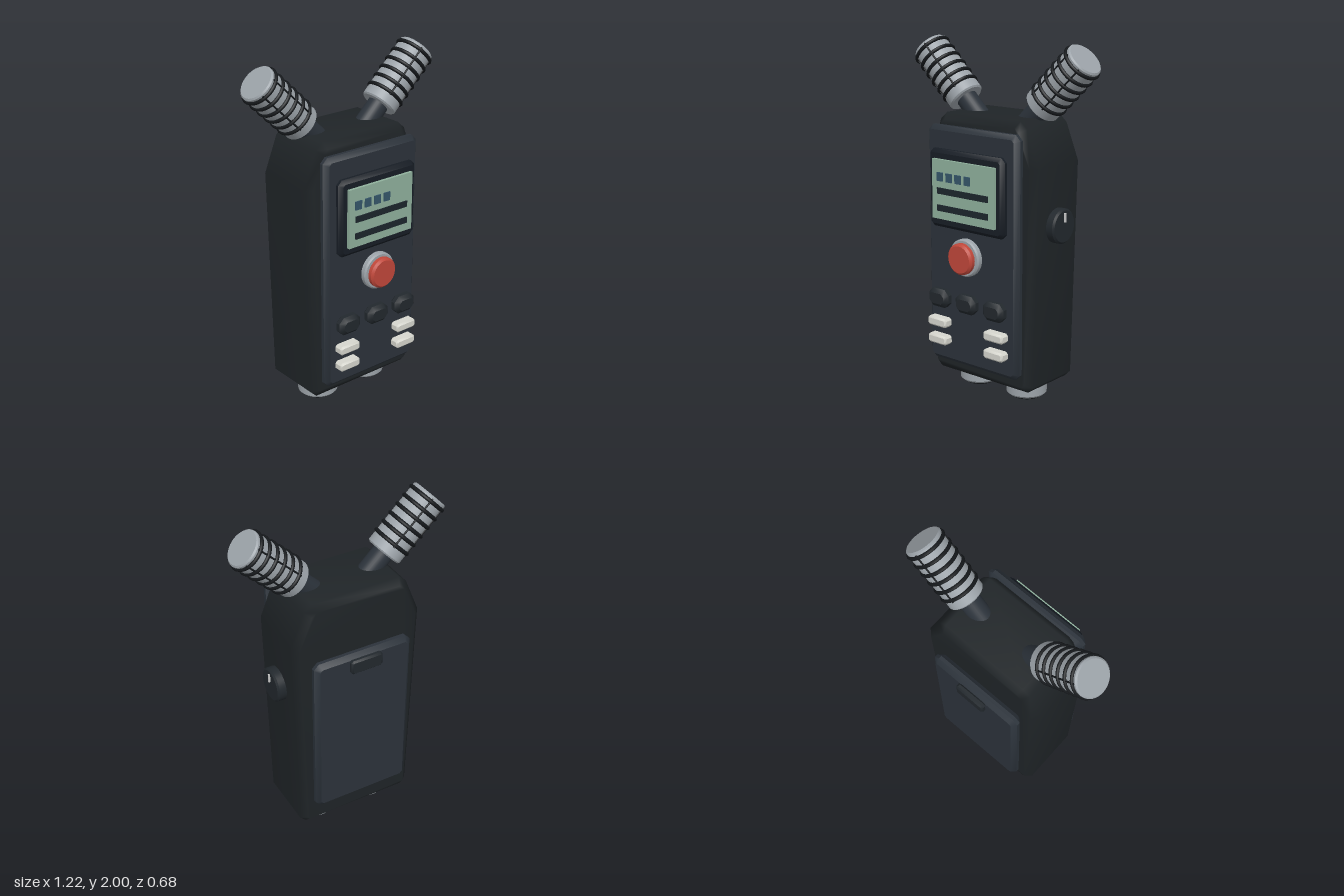
import * as THREE from 'three';
import { mergeVertices, toCreasedNormals } from 'three/addons/utils/BufferGeometryUtils.js';

const mat = (color) => new THREE.MeshStandardMaterial({ color });
const M = {
  body: mat(0x1f2427), plate: mat(0x2b323a), bezel: mat(0x171d25), screen: mat(0x8fb09c),
  ink: mat(0x1c262c), icon: mat(0x35566a), red: mat(0xc0473a), silver: mat(0x9ca3a9),
  button: mat(0x22282d), key: mat(0xd6d6ce), dark: mat(0x15181b), mark: mat(0xdddddd),
};
const MID_Z = -0.035; // depth of the body's centre plane

function add(parent, name, geometry, material, x = 0, y = 0, z = 0) {
  const mesh = new THREE.Mesh(geometry, material);
  mesh.name = name;
  mesh.position.set(x, y, z);
  parent.add(mesh);
  return mesh;
}

// Extrude an outline to total depth d, chamfered inwards by b, centred in z
function bevelled(points, d, b) {
  const shape = new THREE.Shape(points.map(([x, y]) => new THREE.Vector2(x, y)));
  const geo = new THREE.ExtrudeGeometry(shape, {
    depth: d - 2 * b, bevelEnabled: true, bevelThickness: b, bevelSize: b, bevelOffset: -b, bevelSegments: 1,
  });
  return geo.translate(0, 0, b - d / 2);
}

// Box with cut corners c and chamfered edges b
function slab(w, h, d, b, c) {
  const x = w / 2, y = h / 2;
  return toCreasedNormals(bevelled([
    [-x + c, -y], [x - c, -y], [x, -y + c], [x, y - c],
    [x - c, y], [-x + c, y], [-x, y - c], [-x, -y + c],
  ], d, b), 0.6);
}

// Round disc along y with chamfered rims
function disc(r, h, b) {
  const pts = [[0, -h / 2], [r - b, -h / 2], [r, -h / 2 + b], [r, h / 2 - b], [r - b, h / 2], [0, h / 2]];
  return toCreasedNormals(new THREE.LatheGeometry(pts.map((p) => new THREE.Vector2(...p)), 40), 0.6);
}

function microphone(side) {
  const mic = new THREE.Group();
  mic.name = side > 0 ? 'leftMicrophone' : 'rightMicrophone';
  add(mic, 'microphoneStem', new THREE.CylinderGeometry(0.06, 0.06, 0.24, 32), M.plate, 0, -0.25, 0);
  add(mic, 'microphoneHead', disc(0.103, 0.39, 0.008), M.silver);
  // Cage of rings and lengthwise bars
  for (let i = 0; i < 6; i++) {
    const ring = add(mic, 'cageRing', new THREE.TorusGeometry(0.103, 0.011, 8, 40), M.dark, 0, -0.125 + i * 0.058, 0);
    ring.rotation.x = Math.PI / 2;
  }
  for (const a of [-0.5, 0.5, Math.PI - 0.5, Math.PI + 0.5]) {
    add(mic, 'cageBar', new THREE.CylinderGeometry(0.005, 0.005, 0.32, 8), M.dark,
      0.104 * Math.sin(a), 0.02, 0.104 * Math.cos(a));
  }
  mic.position.set(side * 0.406, 1.793, MID_Z);
  mic.rotation.z = -side * 0.8;
  return mic;
}

export function createModel() {
  const model = new THREE.Group();
  model.name = 'handheldRecorder';

  // Tapered body, softly shaded
  const half = [[0.32, 0.1], [0.355, 0.135], [0.385, 1.36], [0.305, 1.56], [0.26, 1.6]];
  let bodyGeo = bevelled([...half, ...half.map(([x, y]) => [-x, y]).reverse()], 0.41, 0.035);
  bodyGeo.deleteAttribute('normal');
  bodyGeo.deleteAttribute('uv');
  bodyGeo = mergeVertices(bodyGeo, 1e-4);
  bodyGeo.computeVertexNormals();
  add(model, 'body', bodyGeo, M.body, 0, 0, MID_Z);

  // Front plate and rear battery door
  add(model, 'frontPlate', slab(0.645, 1.35, 0.07, 0.025, 0.03), M.plate, 0, 0.865, 0.203);
  add(model, 'batteryDoor', slab(0.585, 1.005, 0.07, 0.025, 0.03), M.plate, 0, 0.768, -0.273);
  add(model, 'doorLatch', slab(0.19, 0.085, 0.035, 0.01, 0.012), M.button, 0, 1.213, -0.322);

  // Display
  add(model, 'screenBezel', slab(0.53, 0.435, 0.055, 0.02, 0.025), M.bezel, 0, 1.203, 0.26);
  add(model, 'screen', new THREE.BoxGeometry(0.44, 0.33, 0.024), M.screen, 0, 1.205, 0.293);
  for (const y of [1.198, 1.103]) add(model, 'screenBar', new THREE.BoxGeometry(0.36, 0.034, 0.01), M.ink, 0, y, 0.307);
  for (let i = 0; i < 4; i++) {
    add(model, 'screenIcon', new THREE.BoxGeometry(0.042, 0.048, 0.01), M.icon, -0.16 + i * 0.065, 1.276, 0.307);
  }

  // Record button
  add(model, 'recordRing', disc(0.105, 0.04, 0.008), M.silver, 0, 0.845, 0.28).rotation.x = Math.PI / 2;
  add(model, 'recordButton', disc(0.087, 0.045, 0.012), M.red, 0, 0.845, 0.317).rotation.x = Math.PI / 2;

  // Transport buttons and small keys
  for (const x of [-0.2, 0, 0.198]) add(model, 'transportButton', slab(0.145, 0.105, 0.07, 0.022, 0.03), M.button, x, 0.578, 0.273);
  for (const x of [-0.205, 0.205]) {
    for (const y of [0.437, 0.334]) add(model, 'smallKey', slab(0.138, 0.052, 0.062, 0.01, 0.012), M.key, x, y, 0.274);
  }

  // Side dial with pointer mark
  add(model, 'sideDial', disc(0.097, 0.065, 0.01), M.button, 0.395, 1.028, MID_Z).rotation.z = Math.PI / 2;
  add(model, 'dialMark', new THREE.BoxGeometry(0.014, 0.05, 0.01), M.mark, 0.43, 1.077, MID_Z);

  // Sockets underneath and paired microphones
  for (const side of [-1, 1]) {
    add(model, 'socketCollar', disc(0.115, 0.11, 0.012), M.silver, side * 0.175, 0.07, MID_Z);
    add(model, 'socketOpening', disc(0.085, 0.04, 0.005), M.dark, side * 0.175, 0.02, MID_Z);
    model.add(microphone(side));
  }
  return model;
}
